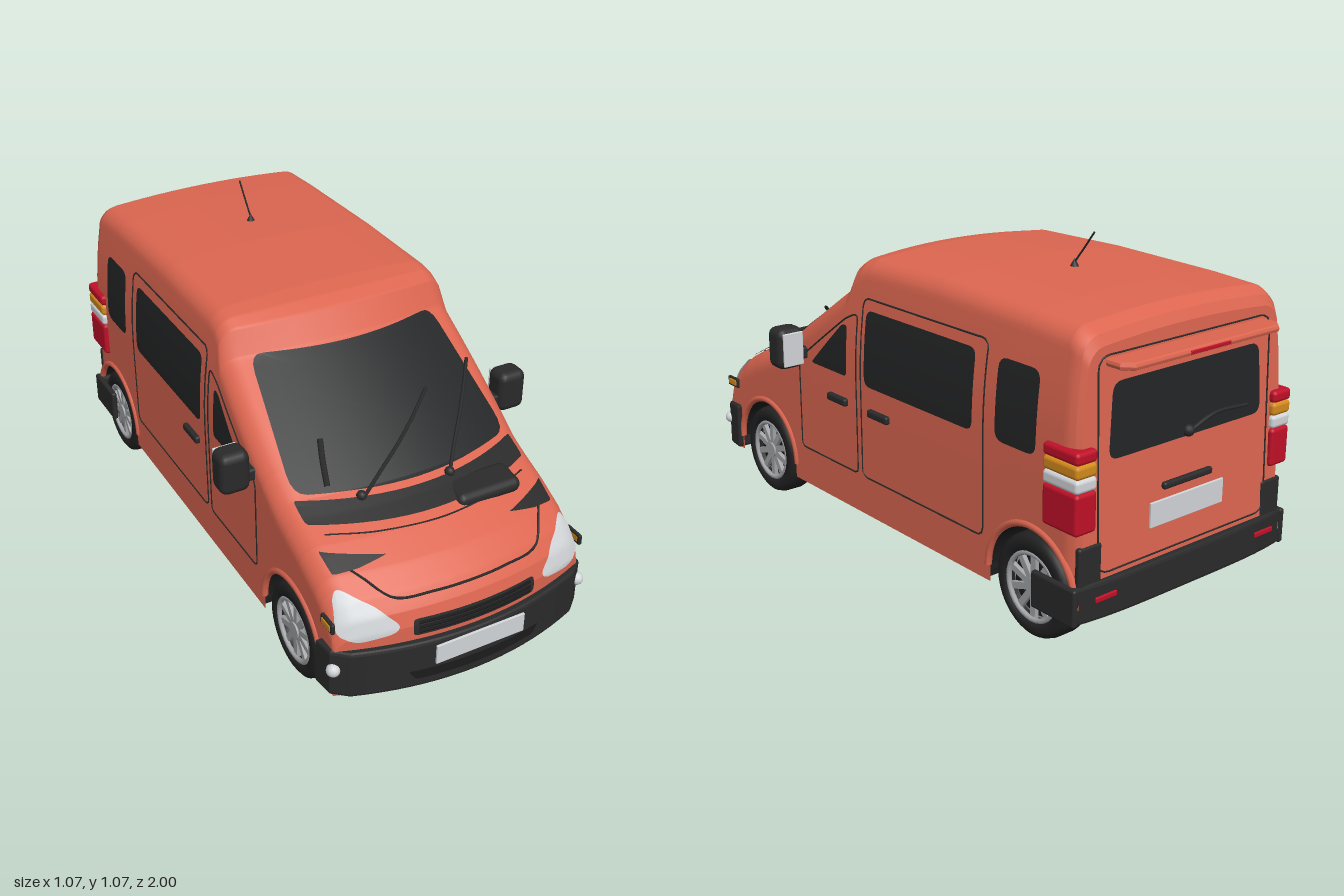
import * as THREE from 'three';
import { mergeVertices } from 'three/addons/utils/BufferGeometryUtils.js';
import { RoundedBoxGeometry } from 'three/addons/geometries/RoundedBoxGeometry.js';

const material = (name, color) => Object.assign(new THREE.MeshStandardMaterial({ color, side: THREE.DoubleSide }), { name });
const V = (x, y, z) => new THREE.Vector3(x, y, z);

// Body rules: roof line (z, height), half width by height, bow of the front in plan
const LINE = [[-0.915, 0.89], [-0.9, 0.92], [-0.86, 0.942], [-0.7, 0.952], [-0.3, 0.963], [0.05, 0.958], [0.12, 0.947], [0.17, 0.925],
  [0.22, 0.847], [0.62, 0.577], [0.68, 0.55], [0.77, 0.515], [0.86, 0.47], [0.92, 0.425], [0.955, 0.38], [0.97, 0.33]];
const WHEELS = [0.635, -0.75], ARCH = 0.175, CORNER = 0.06, CROWN = 0.02;
const W = y => 0.422 - 0.3 * Math.max(0, y - 0.55) ** 2;
const bow = z => 0.08 * THREE.MathUtils.smoothstep(z, 0, 0.25);
const zBack = y => -0.915 - 0.03 * (1 - y / 0.9);
const interp = (a, b, v, i, o) => a[o] + (b[o] - a[o]) * (v - a[i]) / (b[i] - a[i]);
function roofAt(z) {
  const k = LINE.findIndex((p, i) => i > 0 && z <= p[0]);
  return k < 0 ? 0.33 : interp(LINE[k - 1], LINE[k], z, 0, 1);
}
function drop(x, w) {
  const e = Math.min(CORNER, Math.max(0, x - w + CORNER));
  return CROWN * (x / w) ** 2 + CORNER - Math.sqrt(CORNER ** 2 - e * e);
}
function zFront(x, y) {
  const h = y + drop(Math.abs(x), W(y));
  const k = LINE.findIndex((p, i) => i > 6 && h >= p[1]);
  const z = k < 0 ? 0.97 : interp(LINE[k - 1], LINE[k], h, 1, 0);
  return z - bow(z) * (x / 0.42) ** 2;
}
function warp(x, y, z) {
  if (z < -0.87) x *= 1 - 0.05 * ((-0.87 - z) / 0.045) ** 2;
  const lean = z < -0.5 ? 0.03 * (1 - y / 0.9) * (-0.5 - z) / 0.415 : 0;
  return V(x, y, z - lean - bow(z) * (x / 0.42) ** 2);
}
// Cross-section of the shell from the +x sill over the roof to the -x sill
function section(z) {
  const h = roofAt(z), zs = z - bow(z), half = [];
  let yb = 0.11;
  for (const c of WHEELS) if (Math.abs(zs - c) < ARCH) yb = 0.16 + Math.sqrt(ARCH ** 2 - (zs - c) ** 2);
  const top = h - CROWN - CORNER, w = W(top);
  yb = Math.min(yb, top - 0.01);
  for (let i = 0; i < 9; i++) { const y = yb + (top - yb) * i / 9; half.push([W(y), y]); }
  for (let i = 0; i <= 6; i++) { const x = w - CORNER + CORNER * Math.cos(i * Math.PI / 12); half.push([x, h - drop(x, w)]); }
  for (let i = 1; i <= 6; i++) { const x = (w - CORNER) * (1 - i / 6); half.push([x, h - drop(x, w)]); }
  return half.concat(half.slice(0, -1).reverse().map(p => [-p[0], p[1]]));
}
function grid(nu, nv, fn) {
  const pos = [], idx = [];
  for (let v = 0; v < nv; v++) for (let u = 0; u < nu; u++) {
    pos.push(...fn(u, v).toArray());
    if (u < nu - 1 && v < nv - 1) { const a = v * nu + u; idx.push(a, a + 1, a + nu, a + 1, a + nu + 1, a + nu); }
  }
  const g = new THREE.BufferGeometry();
  g.setAttribute('position', new THREE.Float32BufferAttribute(pos, 3));
  g.setIndex(idx);
  g.computeVertexNormals();
  return g;
}
// Polygon with rounded corners
function poly(pts, r = 0.02) {
  const s = new THREE.Shape(), n = pts.length, P = pts.map(p => new THREE.Vector2(...p));
  P.forEach((p, i) => {
    const step = q => p.clone().add(q.clone().sub(p).setLength(Math.min(r, q.distanceTo(p) * 0.45)));
    const a = step(P[(i + n - 1) % n]), b = step(P[(i + 1) % n]);
    if (i) s.lineTo(a.x, a.y); else s.moveTo(a.x, a.y);
    s.quadraticCurveTo(p.x, p.y, b.x, b.y);
  });
  s.closePath();
  return s;
}
const rect = (x0, y0, x1, y1, r) => poly([[x0, y0], [x1, y0], [x1, y1], [x0, y1]], r);
// Flat shape split into small triangles and laid onto a surface rule
function drape(shape, map, levels = 3) {
  const g0 = new THREE.ShapeGeometry(shape, 4).toNonIndexed(), p = g0.attributes.position;
  let t = [];
  for (let i = 0; i < p.count; i++) t.push([p.getX(i), p.getY(i)]);
  const mid = (a, b) => [(a[0] + b[0]) / 2, (a[1] + b[1]) / 2];
  for (let l = 0; l < levels; l++) {
    const o = [];
    for (let i = 0; i < t.length; i += 3) {
      const [a, b, c] = t.slice(i, i + 3), d = mid(a, b), e = mid(b, c), f = mid(c, a);
      o.push(a, d, f, d, b, e, f, e, c, d, e, f);
    }
    t = o;
  }
  let g = new THREE.BufferGeometry().setFromPoints(t.map(q => map(...q)));
  g = mergeVertices(g, 1e-5);
  g.computeVertexNormals();
  return g;
}
const tube = (pts, r, closed = false, n = 40) => new THREE.TubeGeometry(new THREE.CatmullRomCurve3(pts, closed), n, r, 5, closed);
const seam = (shape, map) => tube(shape.getSpacedPoints(90).slice(0, -1).map(q => map(q.x, q.y)), 0.003, true, 140);
// Slab from a plan outline given as (x, z)
function slab(plan, y0, y1) {
  const s = new THREE.Shape(plan.map(([x, z]) => new THREE.Vector2(x, -z)));
  const g = new THREE.ExtrudeGeometry(s, { depth: y1 - y0 - 0.02, bevelSize: 0.008, bevelThickness: 0.01, bevelSegments: 2 });
  return g.rotateX(-Math.PI / 2).translate(0, y0 + 0.01, 0);
}

export function createModel() {
  const root = new THREE.Group();
  root.name = 'van';
  const paint = material('orange paint', 0xdc6650), black = material('black plastic', 0x2a2a2a), glass = material('dark glass', 0x242526),
    under = material('underbody black', 0x1b1b1b), lamp = material('pale lamp', 0xd2d5d8), red = material('red lamp', 0xc01028),
    amber = material('amber lamp', 0xd48a1c), silver = material('wheel silver', 0xa3a5a8), tyre = material('tyre rubber', 0x222222);
  const add = (name, geo, mat, x = 0, y = 0, z = 0, parent = root) => {
    const m = new THREE.Mesh(geo, mat);
    m.name = name;
    m.position.set(x, y, z);
    parent.add(m);
    return m;
  };
  const box = (w, h, d, r = 0.008) => new RoundedBoxGeometry(w, h, d, 2, r);
  const front = o => (x, y) => V(x, y + o * 0.6, zFront(x, y) + o);
  const back = o => (x, y) => V(x, y, zBack(y) - o);
  const side = (s, o) => (z, y) => V(s * (W(y) + o), y, z);

  // Shell with cut wheel arches
  const st = LINE.map(p => p[0]);
  for (let z = -0.9; z < 0.96; z += 0.0145) st.push(z);
  for (const e of [-ARCH, ARCH]) for (const d of [-0.0006, 0.0006]) st.push(WHEELS[0] + 0.08 + e + d, WHEELS[1] + e + d);
  const zs = st.filter(z => z >= -0.915 && z <= 0.97).sort((a, b) => a - b), rings = zs.map(section), n = rings[0].length;
  add('bodyShell', grid(n, zs.length, (u, v) => warp(...rings[v][u], zs[v])), paint);
  const cap = (k, flip) => grid((n + 1) / 2, 17, (u, v) => {
    const [x, y] = rings[k][u];
    return warp(x * (1 - v / 8) * flip, y, zs[k]);
  });
  add('nosePanel', cap(zs.length - 1, 1), paint);
  add('rearPanel', cap(0, -1), paint);

  // Windscreen, cowl, bonnet details
  add('windscreen', drape(poly([[-0.37, 0.572], [0.37, 0.572], [0.318, 0.84], [-0.318, 0.84]], 0.04), front(0.004), 4), glass);
  add('cowl', drape(rect(-0.375, 0.528, 0.375, 0.562, 0.008), front(0.006), 4), black);
  add('bonnetSeam', tube([[-0.34, 0.475], [-0.3, 0.45], [-0.24, 0.408], [-0.12, 0.405], [0, 0.405], [0.12, 0.405], [0.24, 0.408], [0.3, 0.45], [0.34, 0.475]]
    .map(p => front(0.001)(...p)), 0.004), black);
  add('bonnetRearSeam', tube([-0.34, -0.2, 0, 0.2, 0.34].map(x => front(0)(x, 0.515)), 0.003), black);
  const wiper = (name, a, b) => add(name, tube([0, 0.25, 0.5, 0.75, 1].map(t => front(0.013)(a[0] + (b[0] - a[0]) * t, a[1] + (b[1] - a[1]) * t)), 0.006), black);
  wiper('wiperRight', [-0.19, 0.56], [0.155, 0.71]);
  wiper('wiperLeft', [0.1, 0.565], [0.355, 0.72]);
  for (const x of [-0.19, 0.1]) add('wiperPivot', new THREE.SphereGeometry(0.016, 10, 8), black, x, 0.568, zFront(x, 0.56));
  add('looseWiper', tube([V(-0.335, 0.685, 0.69), V(-0.325, 0.74, 0.645), V(-0.312, 0.785, 0.605)], 0.009), black);
  add('bonnetPad', box(0.22, 0.05, 0.11, 0.024), black, 0.18, 0.525, 0.705).rotation.x = 0.12;

  // Grille, front bumper and number plate
  add('grille', drape(rect(-0.205, 0.292, 0.205, 0.347, 0.015), front(0.008)), black);
  for (const y of [0.305, 0.32, 0.335]) add('grilleBar', tube([-0.19, -0.1, 0, 0.1, 0.19].map(x => front(0.008)(x, y)), 0.005), under);
  const fp = [[-0.432, 0.825]], rp = [[-0.43, -0.908], [0.43, -0.908]];
  for (let i = -10; i <= 10; i++) fp.push([i * 0.0425, 0.985 - 0.085 * (i / 10) ** 2 - (Math.abs(i) === 10 ? 0.02 : 0)]);
  fp.push([0.432, 0.825]);
  for (let i = 10; i >= -10; i--) rp.push([i * 0.043, -0.952 + 0.02 * (i / 10) ** 4]);
  add('frontBumper', slab(fp, 0.115, 0.275), black);
  add('frontPlate', box(0.3, 0.065, 0.008, 0.002), lamp, 0, 0.233, 0.996);
  add('lowerIntake', drape(poly([[-0.2, 0.148], [0.2, 0.148], [0.225, 0.18], [-0.225, 0.18]], 0.01),
    (x, y) => V(x, y, 0.996 - 0.085 * (x / 0.425) ** 2)), under);

  // Rear bumper, tailgate and spoiler
  add('rearBumper', slab(rp, 0.112, 0.225), black);
  add('tailgateSeam', seam(rect(-0.345, 0.24, 0.345, 0.85, 0.04), back(0)), black);
  add('rearWindow', drape(poly([[-0.31, 0.56], [0.31, 0.56], [0.295, 0.775], [-0.295, 0.775]], 0.035), back(0.005), 1), glass);
  add('rearPlate', box(0.3, 0.075, 0.008, 0.002), lamp, 0, 0.36, zBack(0.36) - 0.006);
  add('tailgateHandle', box(0.2, 0.022, 0.018), black, 0, 0.435, zBack(0.435) - 0.006);
  add('rearWiper', tube([V(0, 0.575, -0.938), V(-0.1, 0.605, -0.938), V(-0.24, 0.6, -0.937)], 0.006), black);
  add('rearWiperPivot', new THREE.SphereGeometry(0.018, 10, 8), black, 0, 0.575, -0.932);
  add('spoiler', slab([[-0.31, -0.9], [0.31, -0.9], [0.31, -0.965], [0.285, -0.99], [-0.285, -0.99], [-0.31, -0.965]], 0.82, 0.842), paint);
  add('highBrakeLamp', box(0.16, 0.01, 0.006, 0.002), red, 0, 0.831, -0.998);

  // Aerial
  add('aerialBase', new THREE.ConeGeometry(0.014, 0.025, 12), black, 0, 0.97, -0.46);
  add('aerialRod', tube([V(0, 0.97, -0.46), V(0, 1.02, -0.5), V(0, 1.072, -0.54)], 0.003), black);

  for (const s of [1, -1]) {
    const fx = pts => pts.map(([x, y]) => [s * x, y]);
    // Lamps
    add('headlight', drape(poly(fx([[0.238, 0.335], [0.3, 0.395], [0.38, 0.437], [0.4, 0.41], [0.416, 0.325], [0.36, 0.298], [0.26, 0.312]]), 0.02), front(0.006)), lamp);
    add('bonnetVent', drape(poly(fx([[0.21, 0.483], [0.38, 0.492], [0.375, 0.458], [0.3, 0.467]]), 0.004), front(0.006)), black);
    add('fogLamp', new THREE.SphereGeometry(0.021, 14, 10), lamp, s * 0.425, 0.212, 0.892);
    add('sideIndicatorFrame', box(0.012, 0.034, 0.066, 0.004), black, s * 0.424, 0.355, 0.858);
    add('sideIndicator', box(0.016, 0.022, 0.05, 0.004), amber, s * 0.425, 0.355, 0.858);
    for (const [y0, y1, m] of [[0.375, 0.495, red], [0.495, 0.535, lamp], [0.535, 0.575, amber], [0.575, 0.612, red]])
      add('tailLamp', box(0.078, y1 - y0, 0.138, 0.012), m, s * 0.399, (y0 + y1) / 2, -0.876);
    add('rearCornerTrim', box(0.085, 0.12, 0.02), black, s * 0.375, 0.275, -0.93);
    add('rearBumperWing', box(0.02, 0.112, 0.175), black, s * 0.432, 0.168, -0.86);
    add('rearReflector', box(0.08, 0.016, 0.008, 0.003), red, s * 0.33, 0.18, -0.957);
    // Side glass, seams and handles
    add('frontDoorWindow', drape(poly([[0.33, 0.556], [0.128, 0.556], [0.128, 0.722], [0.155, 0.722]], 0.015), side(s, 0.005)), glass);
    add('slidingDoorWindow', drape(rect(-0.5, 0.55, 0.03, 0.792, 0.03), side(s, 0.005)), glass);
    add('rearQuarterWindow', drape(rect(-0.77, 0.553, -0.6, 0.793, 0.035), side(s, 0.005)), glass);
    add('frontDoorSeam', seam(poly([[0.41, 0.24], [0.08, 0.24], [0.08, 0.77], [0.14, 0.745], [0.41, 0.55]], 0.02), side(s, 0)), black);
    add('slidingDoorSeam', seam(rect(-0.545, 0.24, 0.055, 0.825, 0.025), side(s, 0)), black);
    for (const z of [0.18, -0.045]) add('doorHandle', box(0.022, 0.026, 0.105), black, s * 0.427, 0.467, z);
    // Door mirror
    add('mirrorArm', box(0.06, 0.04, 0.05), black, s * 0.44, 0.58, 0.385);
    add('mirrorShell', box(0.097, 0.138, 0.085, 0.026), black, s * 0.487, 0.608, 0.385);
    add('mirrorGlass', box(0.074, 0.112, 0.008, 0.003), lamp, s * 0.487, 0.608, 0.341);
    // Wheels, arches and liners
    for (const z of WHEELS) {
      add('archLip', new THREE.TorusGeometry(ARCH + 0.007, 0.011, 6, 28, Math.PI).rotateY(Math.PI / 2), paint, s * 0.42, 0.16, z);
      add('archLiner', new THREE.CylinderGeometry(0.177, 0.177, 0.125, 24, 1, true, Math.PI, Math.PI).rotateZ(-Math.PI / 2), under, s * 0.358, 0.16, z);
      add('archInnerWall', new THREE.CircleGeometry(0.177, 24, 0, Math.PI).rotateY(Math.PI / 2), under, s * 0.296, 0.16, z);
      const wheel = new THREE.Group();
      wheel.name = 'wheel';
      wheel.position.set(s * 0.37, 0.155, z);
      wheel.rotation.y = s > 0 ? 0 : Math.PI;
      root.add(wheel);
      const prof = [[0.1, -0.05], [0.135, -0.05], [0.149, -0.041], [0.154, -0.025], [0.154, 0.025], [0.149, 0.041], [0.135, 0.05], [0.107, 0.049], [0.102, 0.02]];
      add('tyre', new THREE.LatheGeometry(prof.map(p => new THREE.Vector2(...p)), 36).rotateZ(-Math.PI / 2), tyre, 0, 0, 0, wheel);
      const disc = (r, d) => new THREE.CylinderGeometry(r, r, d, 28).rotateZ(-Math.PI / 2);
      add('rimBarrel', disc(0.102, 0.06), silver, -0.012, 0, 0, wheel);
      add('rimRecess', disc(0.094, 0.004), under, 0.02, 0, 0, wheel);
      add('rimRing', new THREE.TorusGeometry(0.1, 0.008, 8, 32).rotateY(Math.PI / 2), silver, 0.042, 0, 0, wheel);
      add('hub', disc(0.026, 0.03), silver, 0.032, 0, 0, wheel);
      for (let i = 0; i < 10; i++)
        add('spoke', new THREE.BoxGeometry(0.014, 0.084, 0.02).translate(0, 0.058, 0).rotateX(i * Math.PI / 5), silver, 0.034, 0, 0, wheel);
    }
    add('chassisRail', box(0.04, 0.03, 1.6), under, s * 0.2, 0.115, -0.05);
  }

  // Underside
  add('floor', new THREE.BoxGeometry(0.6, 0.02, 1.73), under, 0, 0.135, -0.045);
  add('sillFloor', new THREE.BoxGeometry(0.836, 0.02, 1.02), under, 0, 0.13, -0.06);
  for (const z of WHEELS) add('axle', new THREE.CylinderGeometry(0.022, 0.022, 0.7, 12).rotateZ(Math.PI / 2), under, 0, 0.135, z);
  add('muffler', new THREE.CylinderGeometry(0.034, 0.034, 0.17, 16).rotateX(Math.PI / 2), silver, -0.19, 0.13, -0.6);
  add('exhaustPipe', new THREE.CylinderGeometry(0.012, 0.012, 0.42, 10).rotateX(Math.PI / 2), silver, -0.19, 0.115, -0.68);
  return root;
}
